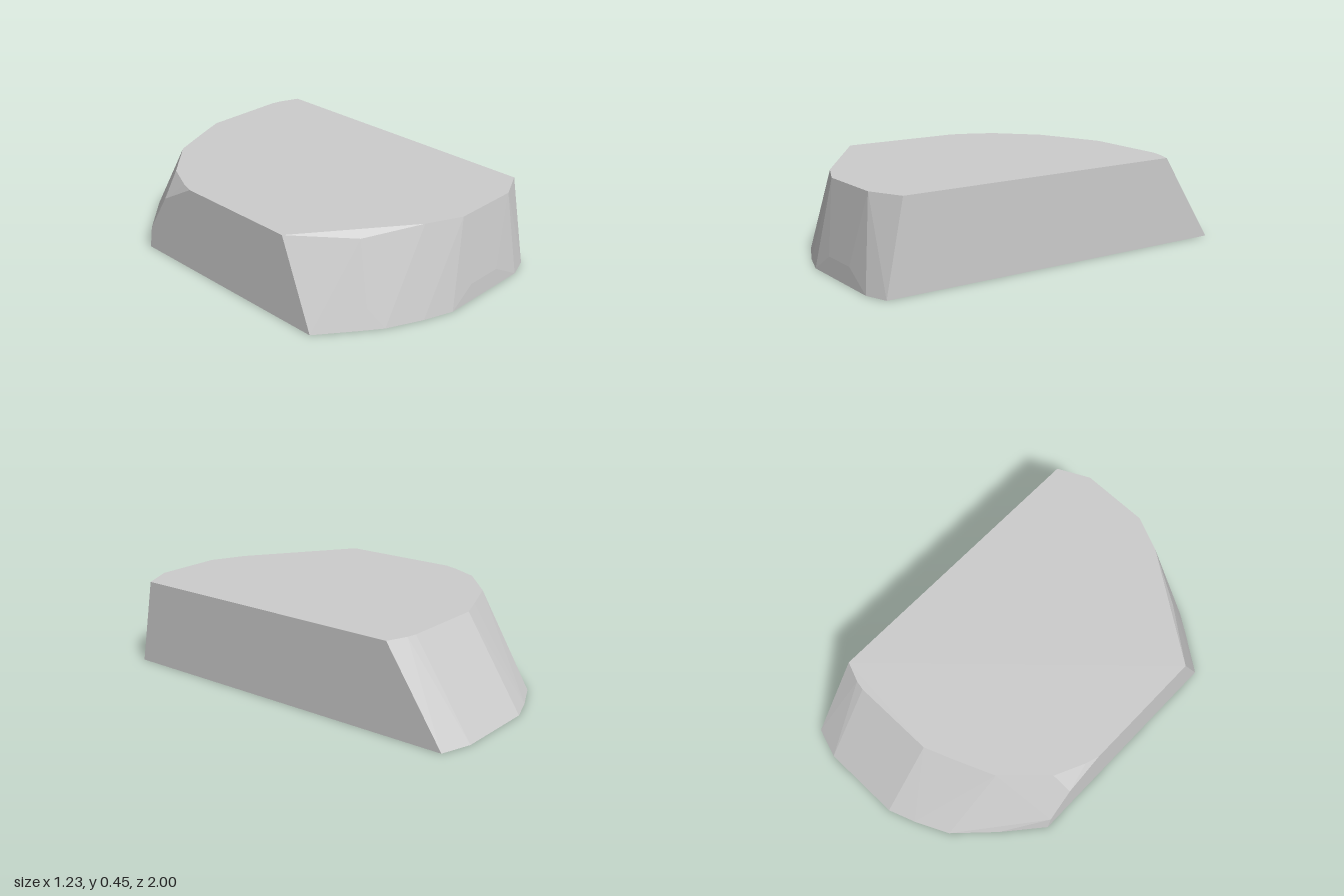
import * as THREE from 'three';
import { ConvexGeometry } from 'three/addons/geometries/ConvexGeometry.js';

const W = 0.613; // half width
const H = 0.447; // height

// Outline of the flat top, as [x, z]
const topOutline = [
  [-W, -0.15], [-0.59, -0.22], [-0.52, -0.37], [-0.32, -0.56], [-0.1, -0.65],
  [0.03, -0.7], [0.46, -0.7], [0.51, -0.69], [W, -0.65],
  [W, 0.87], [0.45, 0.95], [0.1, 0.95], [-0.08, 0.87], [-W, 0.49],
];

// Outline of the wider base, as [x, z]
const baseOutline = [
  [-W, -0.5], [-0.45, -0.69], [-0.27, -0.87], [-0.1, -0.95], [0.04, -1],
  [0.46, -1], [W, -0.95],
  [W, 0.96], [0.5, 1], [0, 1], [-0.15, 0.95], [-0.33, 0.87], [-0.43, 0.8], [-W, 0.665],
];

// Points where the sloping walls bulge between base and top, as [x, y, z]
const wallBulges = [
  [-W, 0.33, -0.35], [-W, 0.12, -0.48],
  [-0.34, 0.41, 0.715], [-0.38, 0.1, 0.8],
  [0.14, 0.09, 0.995], [0.34, 0.09, 0.995],
];

export function createModel() {
  const group = new THREE.Group();
  group.name = 'facetedBlock';

  const points = [
    ...topOutline.map(([x, z]) => new THREE.Vector3(x, H, z)),
    ...baseOutline.map(([x, z]) => new THREE.Vector3(x, 0, z)),
    ...wallBulges.map((p) => new THREE.Vector3(...p)),
  ];

  // Solid slab with planar sides, top and bottom, and faceted sloping ends
  const slab = new THREE.Mesh(
    new ConvexGeometry(points),
    new THREE.MeshStandardMaterial({ color: 0xcccccc, flatShading: true })
  );
  slab.name = 'slab';
  group.add(slab);
  return group;
}
